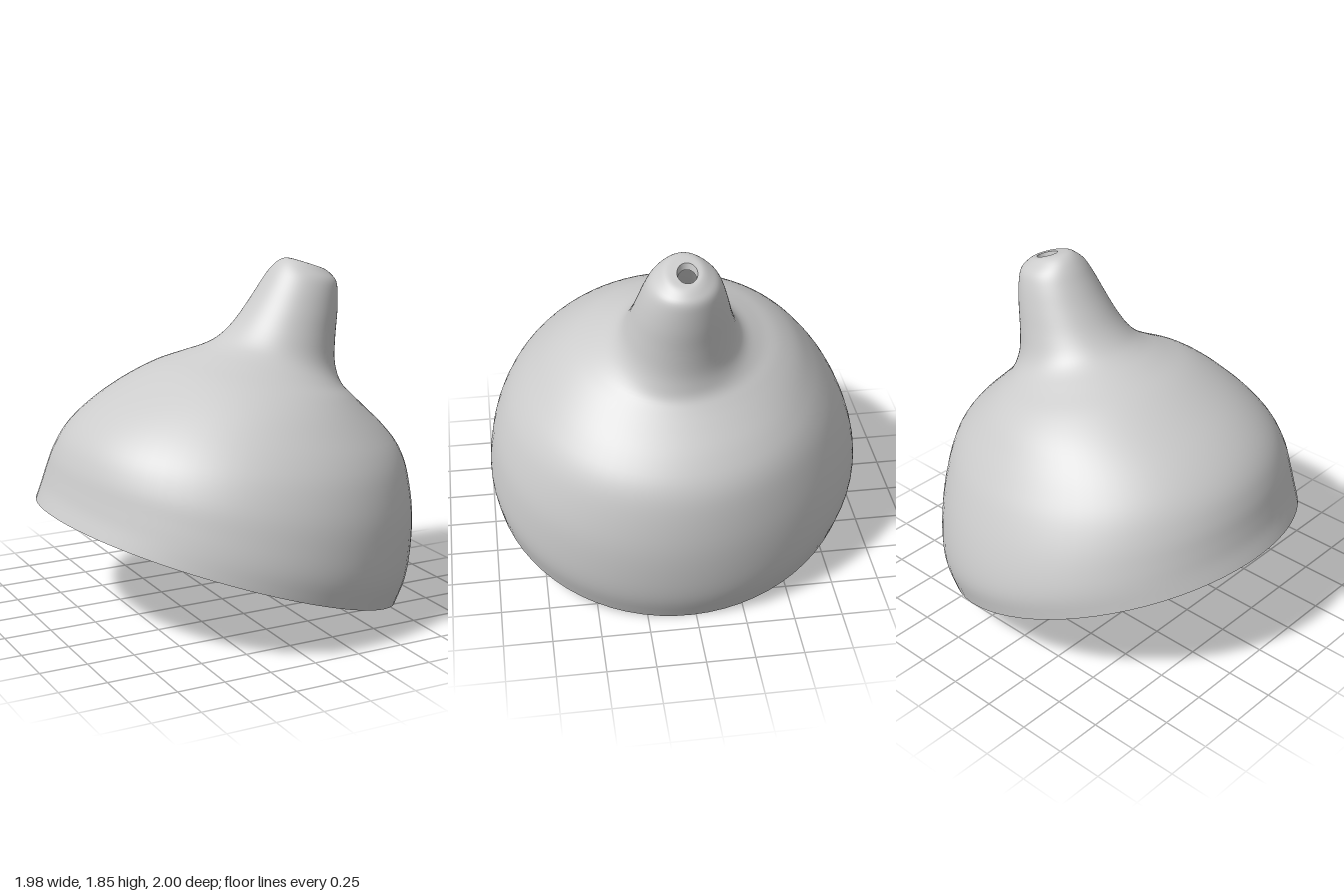
import * as THREE from 'three';
import { toCreasedNormals } from 'three/addons/utils/BufferGeometryUtils.js';

const SEG = 72, SKEW = 0.02, WALL = 0.03;
const material = new THREE.MeshStandardMaterial({ color: 0xcccccc, side: THREE.DoubleSide });

// Skin tilted, slightly skewed oval rings [xLeft, yLeft, xRight, yRight, halfDepth, zCentre]
function loft(rings) {
  const pos = [], index = [];
  rings.forEach(([xl, yl, xr, yr, zh, zc], r) => {
    for (let i = 0; i < SEG; i++) {
      const t = (i / SEG) * Math.PI * 2, c = Math.cos(t), s = Math.sin(t);
      const k = (1 + c + SKEW * s) / 2;
      pos.push(xl + (xr - xl) * k, yl + (yr - yl) * k, zc + zh * (s + SKEW * c));
      if (r === rings.length - 1) continue;
      const a = r * SEG + i, b = r * SEG + (i + 1) % SEG;
      index.push(a, a + SEG, b, b, a + SEG, b + SEG);
    }
  });
  const g = new THREE.BufferGeometry();
  g.setAttribute('position', new THREE.Float32BufferAttribute(pos, 3));
  g.setIndex(index);
  g.computeVertexNormals();
  return g;
}

// Subdivide a ring list along smooth curves
function smoothRings(rings, steps) {
  const curve = f => new THREE.CatmullRomCurve3(rings.map(f), false, 'catmullrom', 0.5);
  const left = curve(r => new THREE.Vector3(r[0], r[1], r[4]));
  const right = curve(r => new THREE.Vector3(r[2], r[3], r[5]));
  return Array.from({ length: steps + 1 }, (_, i) => {
    const l = left.getPoint(i / steps), r = right.getPoint(i / steps);
    return [l.x, l.y, r.x, r.y, l.z, r.z];
  });
}

export function createModel() {
  const group = new THREE.Group();
  const add = (name, geometry) => {
    const mesh = new THREE.Mesh(geometry, material);
    mesh.name = name;
    group.add(mesh);
  };

  // Dome cut by a sloping plane, blending into the off-centre spout
  const outer = [
    [-0.98, 0.62, 0.90, 0.00, 0.985, 0],
    [-0.945, 0.70, 0.96, 0.15, 1.00, 0],
    [-0.92, 0.78, 0.99, 0.32, 0.985, 0.005],
    [-0.89, 0.88, 1.00, 0.52, 0.945, 0.015],
    [-0.84, 0.98, 0.98, 0.72, 0.88, 0.02],
    [-0.76, 1.07, 0.94, 0.85, 0.81, 0.02],
    [-0.64, 1.16, 0.86, 0.96, 0.73, 0.015],
    [-0.48, 1.25, 0.76, 1.06, 0.64, 0.01],
    [-0.32, 1.325, 0.69, 1.13, 0.54, 0.01],
    [-0.17, 1.375, 0.65, 1.18, 0.43, 0.01],
    [-0.06, 1.41, 0.635, 1.24, 0.345, 0.01],
    [0.02, 1.45, 0.63, 1.32, 0.295, 0.01],
    [0.10, 1.52, 0.64, 1.44, 0.26, 0.01],
    [0.18, 1.62, 0.655, 1.56, 0.23, 0.01],
    [0.25, 1.72, 0.66, 1.66, 0.20, 0.01],
    [0.30, 1.79, 0.655, 1.72, 0.17, 0.01],
    [0.345, 1.835, 0.63, 1.755, 0.125, 0.01],
    [0.39, 1.85, 0.60, 1.78, 0.09, 0.01],
    [0.45, 1.835, 0.57, 1.79, 0.05, 0],
  ];
  add('domeAndSpout', loft(smoothRings(outer, 72)));

  // Hollow inside of the thin wall, running up into the spout
  const holeEnd = [0.455, 1.80, 0.56, 1.76, 0.045, 0];
  const inner = outer.slice(2, -2).map(([xl, yl, xr, yr, zh, zc]) =>
    [xl + WALL, yl - WALL / 2, xr - WALL, yr - WALL / 2, zh - WALL, zc]);
  add('hollowInside', loft(smoothRings([...inner, holeEnd], 60).reverse()));

  // Small hole through the tip of the spout
  add('spoutHole', loft([outer[outer.length - 1], holeEnd]));

  // Underside: thin rim, groove and inturned lip, as [scale of the rim, height above the cut plane]
  const underside = [
    [1, 0], [0.985, 0], [0.965, 0.17], [0.93, 0.21], [0.84, 0.21], [0.77, 0.15], [0.73, 0.02],
    [0.69, 0.02], [0.72, 0.16], [0.82, 0.25], [0.98, 0.25],
  ].map(([s, d]) => {
    const cx = -0.04 + 0.31 * d, cy = 0.31 + 0.95 * d;
    return [cx - 0.94 * s, cy + 0.31 * s, cx + 0.94 * s, cy - 0.31 * s, 0.985 * s, 0];
  });
  add('rimAndLip', toCreasedNormals(loft(underside.reverse()), 0.8));

  return group;
}
